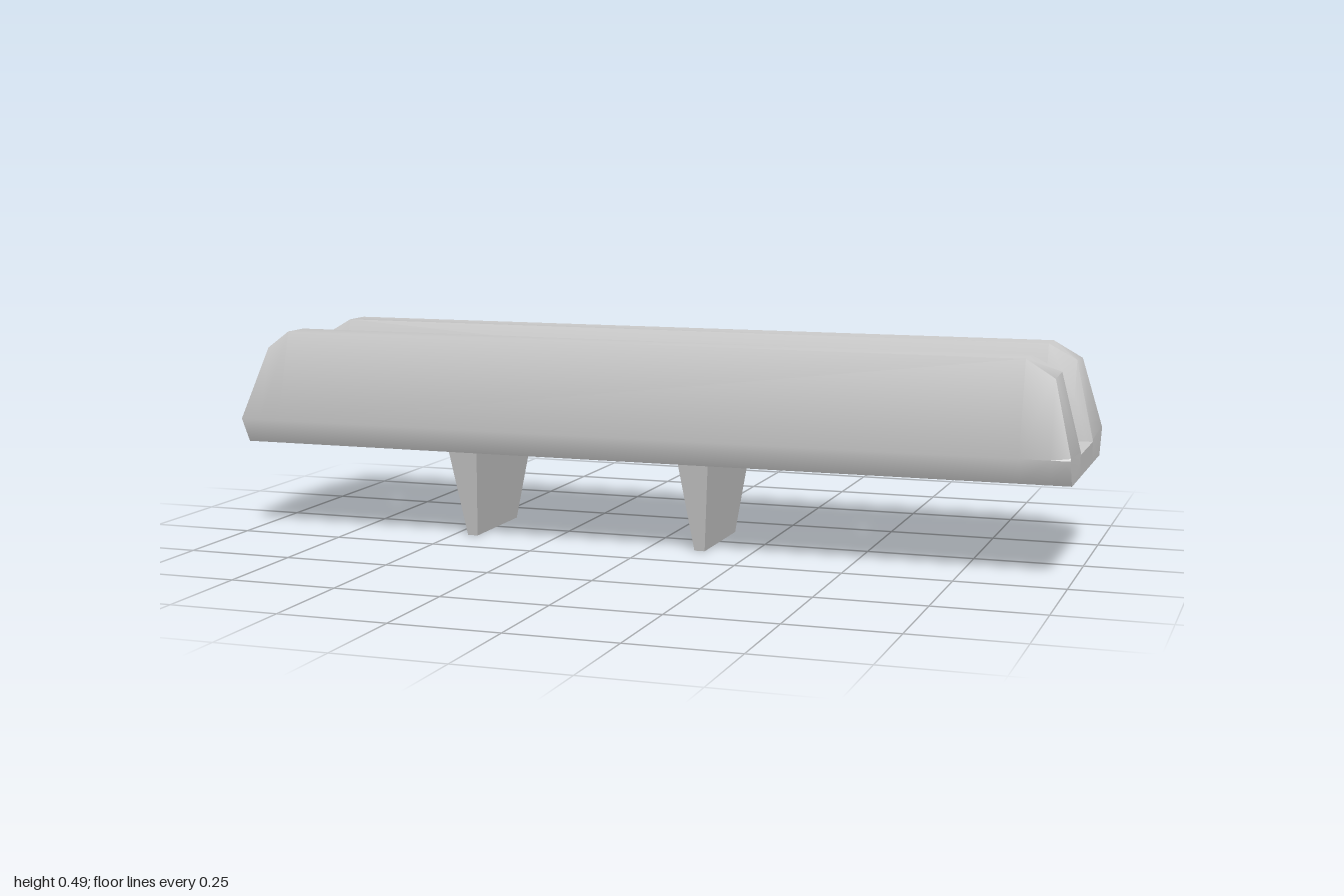
import * as THREE from 'three';
import { toCreasedNormals } from 'three/addons/utils/BufferGeometryUtils.js';

const material = new THREE.MeshStandardMaterial({ color: 0xcccccc });

function addMesh(group, name, geometry) {
  const mesh = new THREE.Mesh(geometry, material);
  mesh.name = name;
  group.add(mesh);
  return mesh;
}

// Rail sections along x: [x, outer top z,y, inner top z,y, inner foot z,y]
const sections = [
  [-1, 0.255, 0.285, 0.09, 0.375, 0.09, 0.37],
  [-0.95, 0.21, 0.45, 0.117, 0.46, 0.09, 0.37],
  [-0.9, 0.2, 0.49, 0.125, 0.49, 0.091, 0.37],
  [0.89, 0.2, 0.49, 0.125, 0.49, 0.091, 0.37],
  [0.957, 0.21, 0.45, 0.118, 0.455, 0.092, 0.37],
  [1, 0.255, 0.285, 0.1, 0.276, 0.1, 0.27],
];

// Loft the sections; side is 1 for the front rail, -1 for the back one
function railGeometry(side) {
  const positions = [], index = [], n = 6;
  for (const [x, oz, oy, tz, ty, fz, fy] of sections) {
    const ring = [[0.225, 0.22], [0.26, 0.28], [oz, oy], [tz, ty], [fz, fy], [fz, 0.22]];
    for (const [z, y] of ring) positions.push(x, y, z * side);
  }
  const tri = (a, b, c) => (side > 0 ? index.push(a, b, c) : index.push(a, c, b));
  for (let i = 0; i < sections.length - 1; i++) {
    for (let j = 0; j < n; j++) {
      const k = (j + 1) % n, a = i * n, b = a + n;
      tri(a + j, b + j, b + k);
      tri(a + j, b + k, a + k);
    }
  }
  // End caps
  const last = (sections.length - 1) * n;
  for (let j = 1; j < n - 1; j++) {
    tri(0, j, j + 1);
    tri(last, last + j + 1, last + j);
  }
  const geometry = new THREE.BufferGeometry();
  geometry.setAttribute('position', new THREE.Float32BufferAttribute(positions, 3));
  geometry.setIndex(index);
  return toCreasedNormals(geometry, 0.85);
}

// Wedge tapering downward in both directions
function pegGeometry() {
  const geometry = new THREE.BoxGeometry(0.074, 0.22, 0.354).toNonIndexed();
  const p = geometry.attributes.position;
  for (let i = 0; i < p.count; i++) {
    if (p.getY(i) < 0) {
      p.setX(i, p.getX(i) * 0.34);
      p.setZ(i, p.getZ(i) * 0.69);
    }
  }
  geometry.computeVertexNormals();
  return geometry;
}

export function createModel() {
  const model = new THREE.Group();
  model.name = 'grooved bar';

  addMesh(model, 'frontRail', railGeometry(1));
  addMesh(model, 'backRail', railGeometry(-1));

  // Channel floor, split by two through slots, with a low step at the +x end
  const floor = new THREE.Group();
  floor.name = 'channelFloor';
  model.add(floor);
  const pieces = [
    [-1, -0.8, 0.37, 0.092],
    [-0.69, 0.46, 0.37, 0.092],
    [0.565, 0.93, 0.37, 0.092],
    [0.93, 1, 0.27, 0.1],
  ];
  pieces.forEach(([x0, x1, top, halfDepth], i) => {
    const piece = addMesh(floor, i < 3 ? `floorPiece${i + 1}` : 'endStep',
      new THREE.BoxGeometry(x1 - x0, top - 0.22, halfDepth * 2));
    piece.position.set((x0 + x1) / 2, (top + 0.22) / 2, 0);
  });

  // Two pegs under the bar
  [-0.453, 0.126].forEach((x, i) => {
    addMesh(model, `peg${i + 1}`, pegGeometry()).position.set(x, 0.11, 0);
  });

  return model;
}
